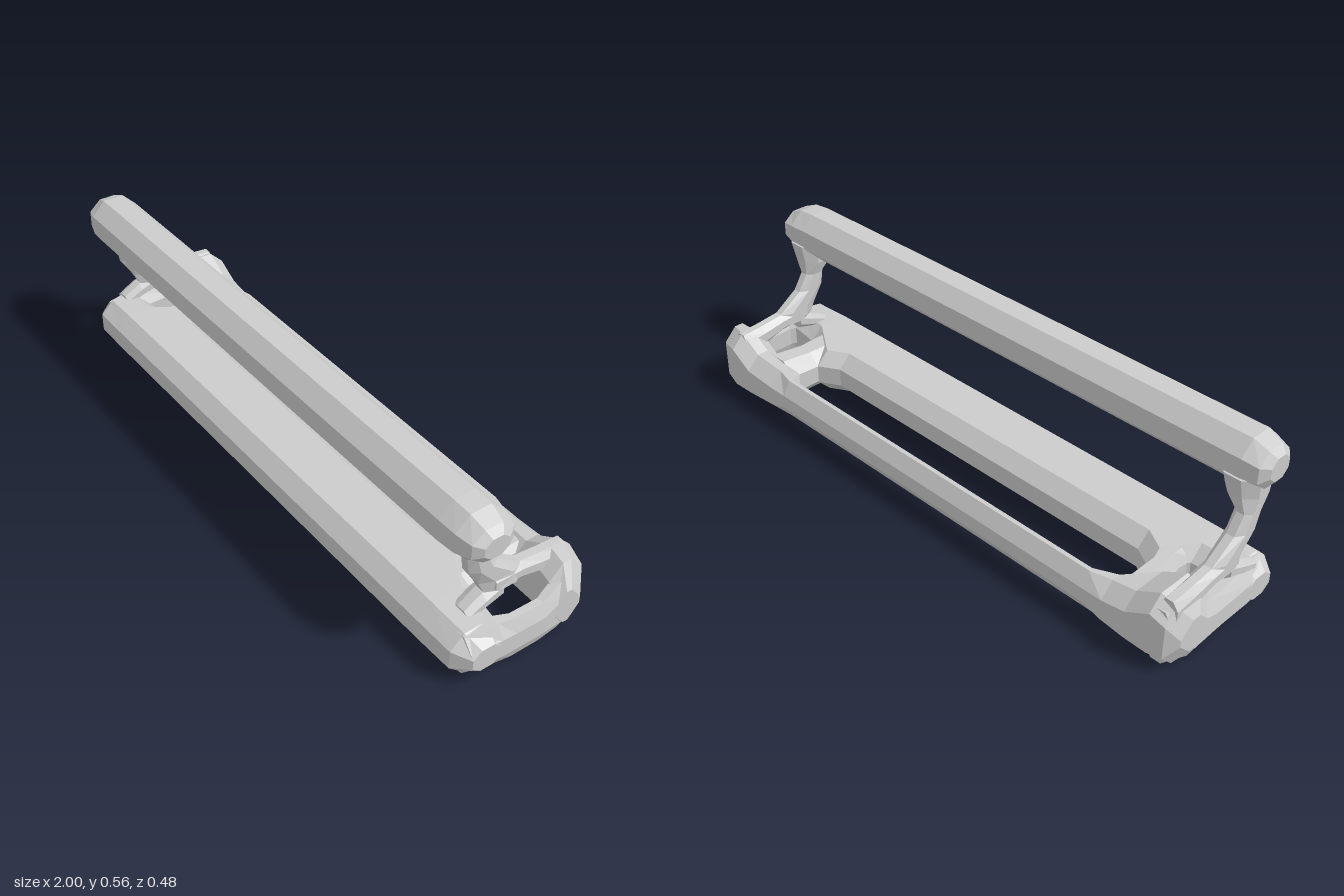
import * as THREE from 'three';

const material = new THREE.MeshStandardMaterial({
  color: 0xcccccc, flatShading: true, side: THREE.DoubleSide,
});

// For each sweep axis: the two cross-section axes (0 = x, 1 = y, 2 = z)
const AXES = { x: [0, 1, 2], y: [1, 2, 0], z: [2, 0, 1] };

// Lofts chamfered rectangles. Each section is [position, min1, max1, min2, max2],
// with ranges along y,z for axis x; z,x for axis y; x,y for axis z.
function loft(name, axis, sections, ratio = 0.29) {
  const [t, s, u] = AXES[axis];
  const pos = [], index = [], n = 8;
  for (const [at, s0, s1, u0, u1] of sections) {
    const a = Math.min(0.045, ratio * (s1 - s0));
    const b = Math.min(0.045, ratio * (u1 - u0));
    const ring = [
      [s1, u0 + b], [s1, u1 - b], [s1 - a, u1], [s0 + a, u1],
      [s0, u1 - b], [s0, u0 + b], [s0 + a, u0], [s1 - a, u0],
    ];
    for (const [ps, pu] of ring) {
      const p = [0, 0, 0];
      p[t] = at; p[s] = ps; p[u] = pu;
      pos.push(...p);
    }
  }
  const last = (sections.length - 1) * n;
  for (let i = 0; i < last; i += n) {
    for (let j = 0; j < n; j++) {
      const k = (j + 1) % n;
      index.push(i + j, i + k, i + n + k, i + j, i + n + k, i + n + j);
    }
  }
  for (let j = 1; j < n - 1; j++) {
    index.push(0, j + 1, j, last, last + j, last + j + 1);
  }
  const g = new THREE.BufferGeometry();
  g.setAttribute('position', new THREE.Float32BufferAttribute(pos, 3));
  g.setIndex(index);
  g.computeVertexNormals();
  const mesh = new THREE.Mesh(g, material);
  mesh.name = name;
  return mesh;
}

export function createModel() {
  const model = new THREE.Group();
  model.name = 'tripleBarFrame';
  const add = (...args) => model.add(loft(...args));

  // Raised front bar with rounded ends
  add('upperBar', 'x', [
    [-1, 0.45, 0.525, 0.12, 0.2], [-0.98, 0.425, 0.545, 0.09, 0.225],
    [-0.93, 0.41, 0.565, 0.08, 0.24], [-0.87, 0.408, 0.565, 0.08, 0.24],
    [0.87, 0.408, 0.565, 0.08, 0.24], [0.93, 0.415, 0.56, 0.08, 0.238],
    [0.98, 0.435, 0.54, 0.09, 0.225], [1, 0.455, 0.52, 0.12, 0.2],
  ]);

  // Wide lower front bar, flaring backwards near its ends
  add('lowerBar', 'x', [
    [-1, 0.05, 0.125, 0.1, 0.2], [-0.95, 0.015, 0.16, 0.07, 0.238],
    [-0.83, 0.012, 0.165, 0.06, 0.24], [-0.76, 0.012, 0.165, -0.04, 0.24],
    [-0.69, 0.012, 0.165, 0, 0.24], [0.61, 0.012, 0.165, 0, 0.24],
    [0.68, 0.012, 0.165, -0.04, 0.24], [0.82, 0.012, 0.165, 0.05, 0.24],
    [0.95, 0.015, 0.16, 0.07, 0.238], [1, 0.05, 0.125, 0.1, 0.2],
  ]);

  // Slim rear bar, swelling into raised corners at both ends
  add('rearBar', 'x', [
    [-1, 0.05, 0.16, -0.2, -0.08], [-0.97, 0.01, 0.21, -0.235, -0.05],
    [-0.92, 0.003, 0.23, -0.24, -0.04], [-0.84, 0.005, 0.185, -0.24, -0.04],
    [-0.76, 0.015, 0.172, -0.24, -0.12], [-0.69, 0.035, 0.172, -0.24, -0.17],
    [0.61, 0.035, 0.172, -0.24, -0.17], [0.68, 0.015, 0.172, -0.24, -0.12],
    [0.8, 0.005, 0.18, -0.24, -0.11], [0.88, 0.003, 0.23, -0.24, -0.11],
    [0.95, 0.005, 0.22, -0.22, -0.1], [0.995, 0.045, 0.16, -0.18, -0.09],
  ], 0.4);

  // Outer and inner side rails closing the base
  add('rightOuterRail', 'z', [
    [-0.22, -0.98, -0.9, 0.02, 0.2], [-0.13, -1, -0.92, 0, 0.18],
    [-0.05, -1, -0.93, 0.012, 0.155], [0.1, -1, -0.91, 0.012, 0.162],
    [0.2, -0.99, -0.88, 0.02, 0.155],
  ]);
  add('leftOuterRail', 'z', [
    [-0.21, 0.87, 0.95, 0.02, 0.2], [-0.13, 0.92, 0.99, 0, 0.18],
    [-0.05, 0.945, 1, 0.012, 0.155], [0.05, 0.945, 1, 0.012, 0.158],
    [0.1, 0.92, 1, 0.012, 0.162], [0.2, 0.88, 0.99, 0.02, 0.155],
  ]);
  add('rightInnerRail', 'z', [
    [-0.14, -0.85, -0.75, 0.015, 0.17], [0.02, -0.82, -0.75, 0.02, 0.16],
    [0.1, -0.83, -0.72, 0.02, 0.16],
  ]);
  add('leftInnerRail', 'z', [
    [-0.15, 0.68, 0.82, 0.015, 0.17], [-0.04, 0.68, 0.81, 0.02, 0.16],
    [0.06, 0.67, 0.82, 0.02, 0.16],
  ]);

  // Leaning struts, rear arms and short front feet at both ends
  const ends = [
    { side: 'right', x: -0.95, top: -0.93 },
    { side: 'left', x: 0.88, top: 0.885 },
  ];
  for (const { side, x, top } of ends) {
    add(side + 'Strut', 'y', [
      [0.2, -0.05, 0.085, x - 0.03, x + 0.035], [0.24, -0.045, 0.105, x - 0.03, x + 0.03],
      [0.3, 0.045, 0.143, x - 0.03, x + 0.03], [0.355, 0.08, 0.152, x - 0.03, x + 0.03],
      [0.4, 0.08, 0.19, top - 0.05, top + 0.06], [0.46, 0.073, 0.21, top - 0.05, top + 0.08],
    ]);
    add(side + 'Arm', 'z', [
      [-0.2, x - 0.03, x + 0.03, 0.14, 0.228], [-0.12, x - 0.03, x + 0.03, 0.16, 0.234],
      [-0.04, x - 0.03, x + 0.03, 0.185, 0.243], [0.06, x - 0.03, x + 0.035, 0.195, 0.25],
    ]);
    add(side + 'Foot', 'z', [
      [0.03, x - 0.03, x + 0.035, 0.165, 0.225], [0.09, x - 0.035, x + 0.035, 0.15, 0.2],
      [0.15, x - 0.03, x + 0.035, 0.13, 0.168],
    ]);
  }
  return model;
}
